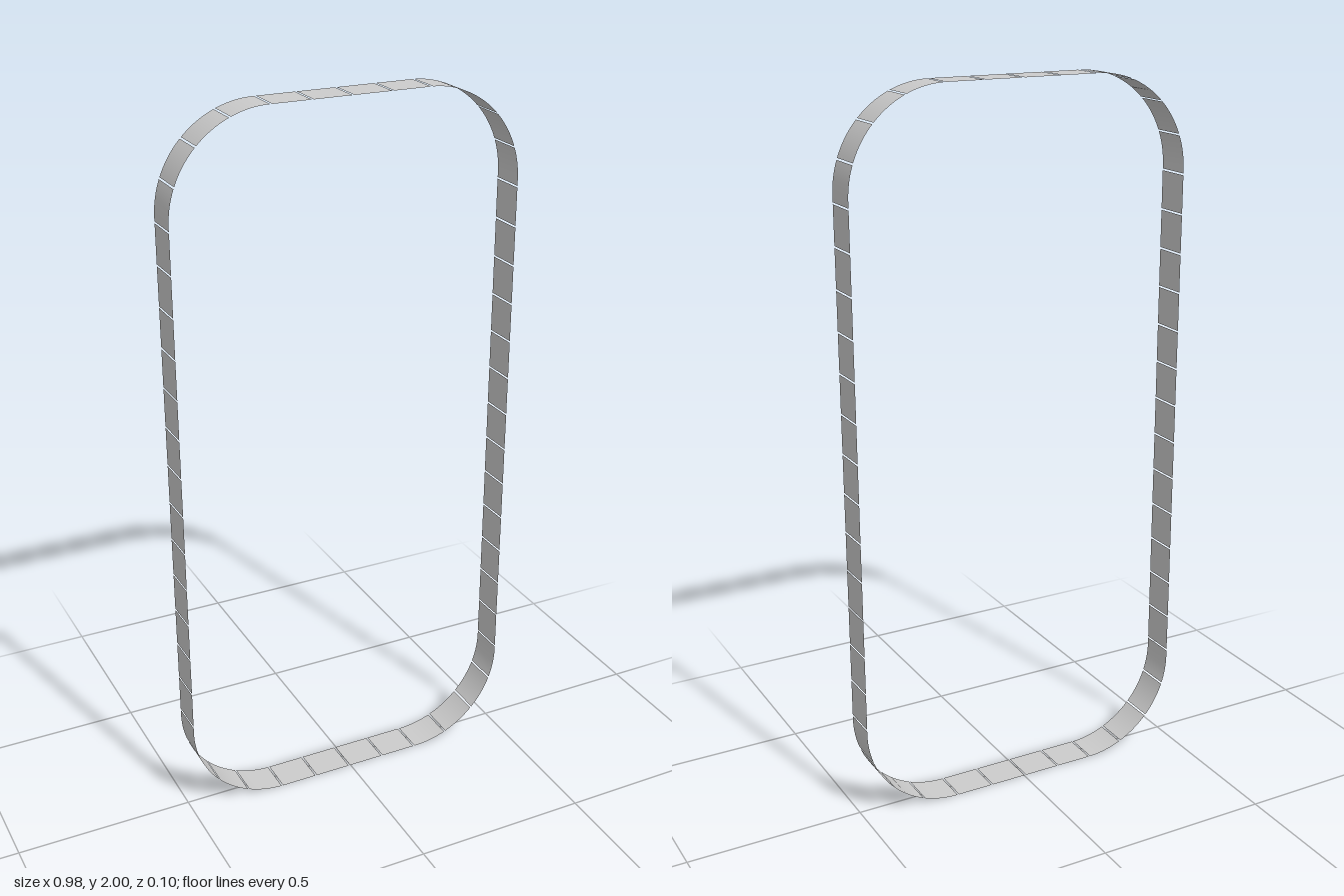
import * as THREE from 'three';

const HALF_W = 0.49, HEIGHT = 2, RADIUS = 0.27, DEPTH = 0.1;
const TILES = 50, GAP = 0.005, START_X = 0.004;

// Rounded-rectangle centre line, clockwise from the top
function outline() {
  const path = new THREE.Path();
  const x = HALF_W - RADIUS, low = RADIUS, high = HEIGHT - RADIUS;
  path.moveTo(START_X, HEIGHT);
  path.lineTo(x, HEIGHT);
  path.absarc(x, high, RADIUS, Math.PI / 2, 0, true);
  path.lineTo(HALF_W, low);
  path.absarc(x, low, RADIUS, 0, -Math.PI / 2, true);
  path.lineTo(-x, 0);
  path.absarc(-x, low, RADIUS, -Math.PI / 2, -Math.PI, true);
  path.lineTo(-HALF_W, high);
  path.absarc(-x, high, RADIUS, Math.PI, Math.PI / 2, true);
  path.lineTo(START_X, HEIGHT);
  path.arcLengthDivisions = 2000;
  return path;
}

// Thin plate wrapped along the outline between distances a and b
function tileGeometry(path, length, a, b) {
  const geometry = new THREE.PlaneGeometry(1, DEPTH, 10, 1);
  const pos = geometry.attributes.position;
  for (let i = 0; i < pos.count; i++) {
    const d = a + (pos.getX(i) + 0.5) * (b - a);
    const p = path.getPointAt(d / length);
    // the plate's upper edge goes to the back so its face points outward
    pos.setXYZ(i, p.x, p.y, -pos.getY(i));
  }
  geometry.computeVertexNormals();
  return geometry;
}

export function createModel() {
  const model = new THREE.Group();
  model.name = 'segmentedBand';
  const material = new THREE.MeshStandardMaterial({ color: 0xcccccc, side: THREE.DoubleSide });
  const path = outline();
  const length = path.getLength();
  const pitch = length / TILES;

  // Closed loop of plates with narrow gaps between them
  for (let i = 0; i < TILES; i++) {
    const geometry = tileGeometry(path, length, i * pitch + GAP / 2, (i + 1) * pitch - GAP / 2);
    const tile = new THREE.Mesh(geometry, material);
    tile.name = `bandPlate${i + 1}`;
    model.add(tile);
  }
  return model;
}
